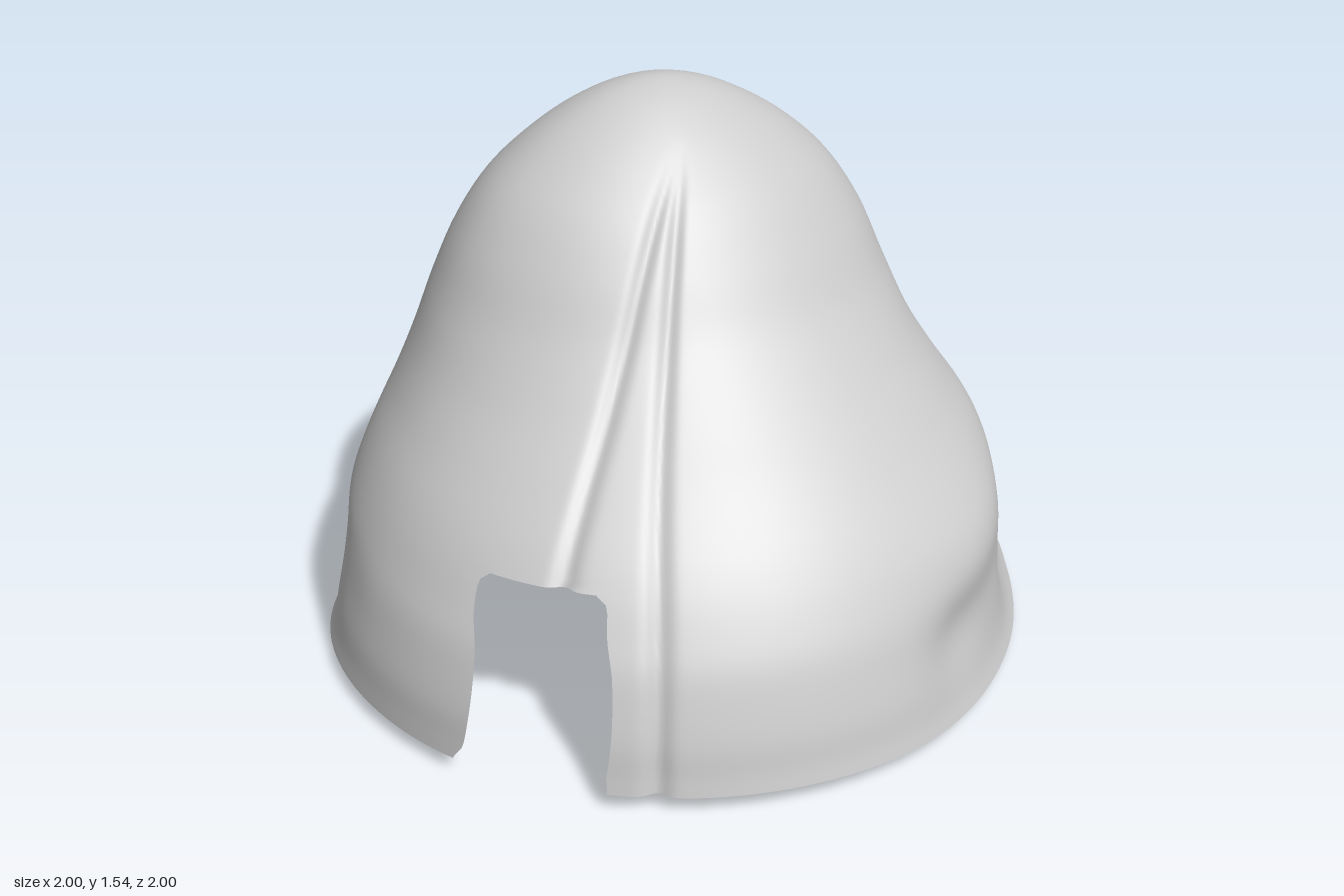
import * as THREE from 'three';

// Horizontal sections: height, reach to -x, +x, +z (front), -z (back)
const SECTIONS = [
  [0.05, 1.0, 1.0, 1.0, 1.0],
  [0.10, 0.99, 0.96, 0.99, 0.945],
  [0.18, 0.978, 0.915, 0.978, 0.9],
  [0.27, 0.957, 0.88, 0.955, 0.873],
  [0.36, 0.935, 0.865, 0.925, 0.868],
  [0.44, 0.91, 0.868, 0.885, 0.897],
  [0.53, 0.872, 0.86, 0.83, 0.872],
  [0.62, 0.825, 0.825, 0.763, 0.838],
  [0.73, 0.758, 0.755, 0.665, 0.802],
  [0.85, 0.692, 0.69, 0.545, 0.763],
  [1.00, 0.625, 0.635, 0.41, 0.705],
  [1.15, 0.558, 0.575, 0.31, 0.625],
  [1.28, 0.475, 0.49, 0.217, 0.537],
  [1.38, 0.37, 0.385, 0.123, 0.447],
  [1.46, 0.255, 0.265, 0.03, 0.357],
  [1.52, 0.13, 0.135, -0.065, 0.255],
  [1.543, 0, 0, -0.16, 0.16],
];
// Rim radius change and rim height, every 15 degrees from +x towards +z
const RIM_DENT = [0, -0.03, -0.045, -0.045, -0.03, -0.005, 0, 0, 0, 0, 0, 0,
  0, -0.01, -0.03, -0.03, -0.055, -0.015, 0, 0.005, -0.01, 0, -0.04, -0.03];
const RIM_Y = [0.045, 0.03, 0.025, 0.03, 0.035, 0.05, 0.055, 0.055, 0.055, 0.05, 0.045, 0.045,
  0.045, 0.03, 0.018, 0.01, 0.004, 0.02, 0.04, 0.035, 0.025, 0.012, 0.02, 0.03];

const COLS = 480, STEPS = 5;
const ROWS = (SECTIONS.length - 1) * STEPS;
const NOTCH = { from: 165, to: 196, topRow: 6 * STEPS, topY: 0.53 };
const { smoothstep, degToRad } = THREE.MathUtils;
const bell = (d, w) => Math.exp(-((d / w) ** 2));

function catmull(a, b, c, d, t) {
  return b + 0.5 * t * (c - a + t * (2 * a - 5 * b + 4 * c - d + t * (3 * (b - c) + d - a)));
}

function ringValue(table, deg) {
  const n = table.length, f = (((deg % 360) + 360) % 360) / 360 * n, i = Math.floor(f);
  const at = k => table[(k + n) % n];
  return catmull(at(i - 1), at(i), at(i + 1), at(i + 2), f - i);
}

function sectionAt(row) {
  const last = SECTIONS.length - 1;
  const i = Math.min(Math.floor(row / STEPS), last - 1), t = row / STEPS - i;
  const at = k => {
    if (k < 0) return SECTIONS[0].map((v, c) => 2 * v - SECTIONS[1][c]);
    if (k <= last) return SECTIONS[k];
    const [y, xn, xp, zf, zb] = SECTIONS[last - 1]; // over the crown and down again
    return [y, -xp, -xn, -zb, -zf];
  };
  return SECTIONS[0].map((_, c) => catmull(at(i - 1)[c], at(i)[c], at(i + 1)[c], at(i + 2)[c], t));
}

// Bends the columns so that the notch gets rounded corners
function columnAngle(col, y) {
  const mid = (NOTCH.from + NOTCH.to) / 2 * 360 / COLS;
  const half = (NOTCH.to - NOTCH.from) / 2 * 360 / COLS;
  const d = col * 360 / COLS - mid;
  const k = Math.min(Math.abs(y - NOTCH.topY) / 0.04, 1);
  const round = 2 * (1 - Math.sqrt(1 - (1 - k) ** 2));
  const foot = 0.8 * (1 - smoothstep(y, 0.05, 0.1));
  const fade = 1 - smoothstep(Math.abs(d), half, half + 5.5);
  return mid + d * (1 + (foot - round) / half * fade);
}

function surfacePoint(row, col) {
  let [y, xn, xp, zf, zb] = sectionAt(row);
  const deg = columnAngle(col, y), a = degToRad(deg);
  const c = Math.cos(a), s = Math.sin(a);
  const zc = (zf - zb) / 2, rz = (zf + zb) / 2, rx = c < 0 ? xn : xp;
  // Upper body is a little flatter on one diagonal than on the other
  const n = 2 + (0.08 * Math.sin(2 * a) - 0.05) * smoothstep(y, 0.5, 0.9);
  let r = 0;
  if (row < ROWS) r = (Math.abs(c / rx) ** n + Math.abs(s / rz) ** n) ** (-1 / n);

  // Gathered hem: everywhere but the front and the -x front quarter
  const gather = smoothstep(deg, 170, 200) + 1 - smoothstep(deg, 45, 75);
  r += ringValue(RIM_DENT, deg) * (1 - smoothstep(y, 0.05, 0.5));
  r += bell(y - 0.46, 0.14)
    * (0.033 * bell(deg - 310, 15) + 0.02 * bell(deg - 245, 15) + 0.035 * bell(deg - 50, 18));
  r -= bell(y - 0.25, 0.11) * (0.035 * bell(deg - 226, 9) + 0.025 * bell(deg - 57, 9));
  r += gather * bell(y - 0.27, 0.12) * (0.01 * Math.sin(9 * a + 1) + 0.008 * Math.sin(14 * a));
  // Hollow above the hem at the back
  r -= 0.03 * bell(deg - 299, 15) * bell(y - 0.76, 0.13);
  const lift = (ringValue(RIM_Y, deg) - 0.05) * (1 - smoothstep(y, 0.05, 0.3))
    + bell(y - 0.42, 0.13)
    * (0.03 * Math.max(0, Math.cos(a - degToRad(350))) ** 6 - 0.02 * bell(deg - 228, 18));

  // Two narrow grooves fanning out from just in front of the crown
  const gx = r * c, gz = zc + r * s - 0.05, reach = Math.hypot(gx, gz);
  const dir = Math.atan2(gz, gx);
  let groove = 0;
  for (const g of [135, 117 + 3 * smoothstep(y, 0.3, 1.1)]) {
    groove += bell((dir - degToRad(g)) * reach, 0.014 + 0.016 * reach);
  }
  groove *= 0.02 * smoothstep(reach, 0, 0.25);
  const steep = 1 - smoothstep(y, 0.4, 1.2) * 0.6;
  r -= groove * steep;
  y += lift - groove * (1 - steep);
  return [r * c, y, zc + r * s];
}

export function createModel() {
  const positions = [], index = [];
  for (let i = 0; i <= ROWS; i++) {
    for (let j = 0; j < COLS; j++) positions.push(...surfacePoint(i, j));
  }
  for (let i = 0; i < ROWS; i++) {
    for (let j = 0; j < COLS; j++) {
      if (i < NOTCH.topRow && j >= NOTCH.from && j < NOTCH.to) continue; // open notch
      const a = i * COLS + j, b = i * COLS + (j + 1) % COLS;
      index.push(a, a + COLS, b);
      if (i < ROWS - 1) index.push(b, a + COLS, b + COLS);
    }
  }
  const geometry = new THREE.BufferGeometry();
  geometry.setAttribute('position', new THREE.Float32BufferAttribute(positions, 3));
  geometry.setIndex(index);
  geometry.computeVertexNormals();

  const shell = new THREE.Mesh(geometry,
    new THREE.MeshStandardMaterial({ color: 0xcccccc, side: THREE.DoubleSide }));
  shell.name = 'drapedShell';
  const group = new THREE.Group();
  group.name = 'drapedCap';
  group.add(shell);
  return group;
}
